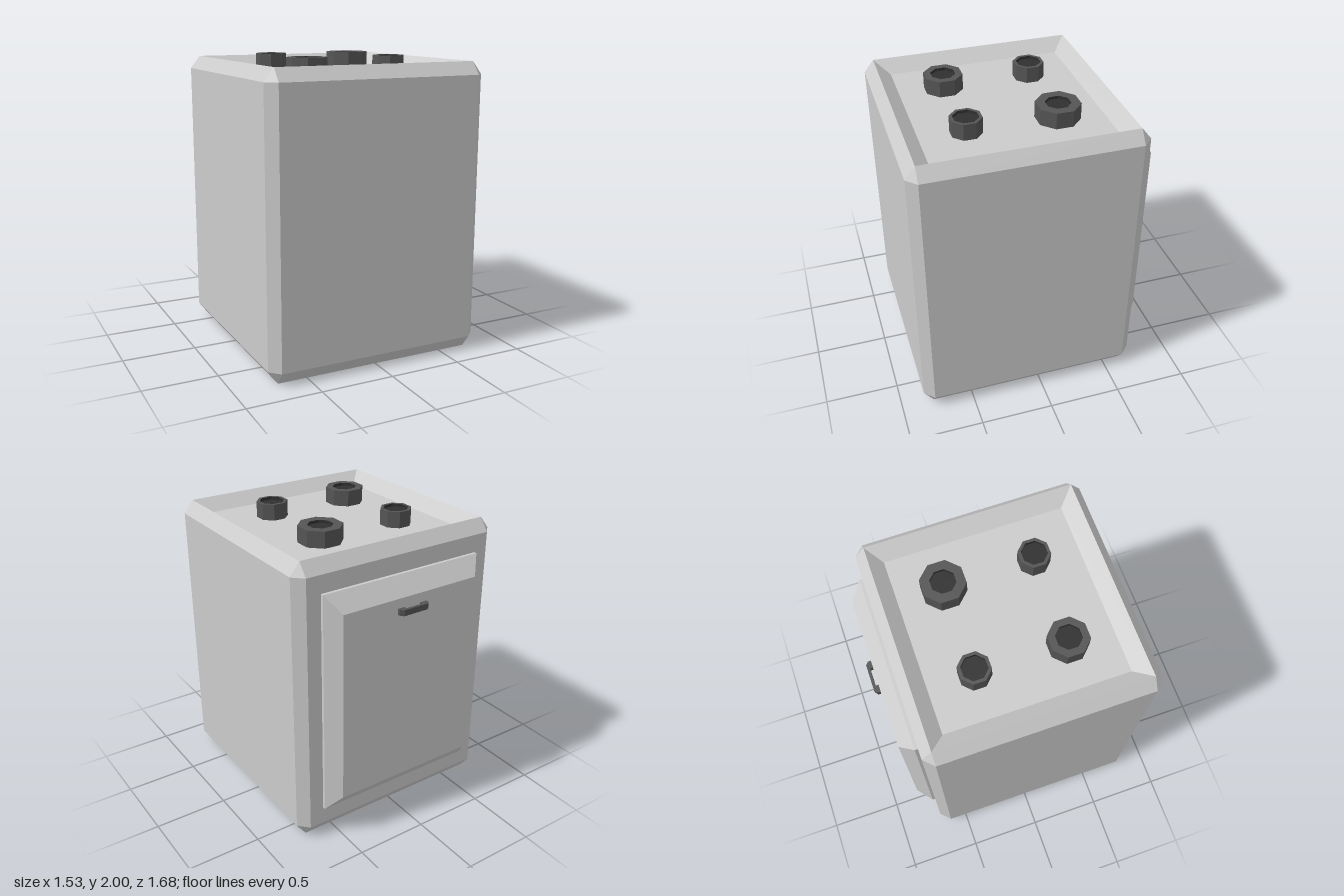
import * as THREE from 'three';

const paint = (color) => new THREE.MeshStandardMaterial({ color, flatShading: true });

// Rectangle with corners cut by c, at height y, counter-clockwise from above
function ring(y, hx, z0, z1, c = 0) {
  return [
    [hx, z1 - c], [hx, z0 + c], [hx - c, z0], [c - hx, z0],
    [-hx, z0 + c], [-hx, z1 - c], [c - hx, z1], [hx - c, z1],
  ].map(([x, z]) => new THREE.Vector3(x, y, z));
}

// Skin a stack of rings and cap both ends
function loft(rings) {
  const pos = [];
  const tri = (a, b, c) => {
    const area = b.clone().sub(a).cross(c.clone().sub(a)).length();
    if (area > 1e-8) for (const p of [a, b, c]) pos.push(p.x, p.y, p.z);
  };
  for (let i = 0; i < rings.length - 1; i++) {
    const lo = rings[i], hi = rings[i + 1];
    for (let j = 0; j < 8; j++) {
      const k = (j + 1) % 8;
      tri(lo[j], lo[k], hi[k]);
      tri(lo[j], hi[k], hi[j]);
    }
  }
  const first = rings[0], last = rings[rings.length - 1];
  for (let j = 1; j < 7; j++) {
    tri(first[0], first[j + 1], first[j]);
    tri(last[0], last[j], last[j + 1]);
  }
  const g = new THREE.BufferGeometry();
  g.setAttribute('position', new THREE.Float32BufferAttribute(pos, 3));
  g.computeVertexNormals();
  return g;
}

// Eight-sided turned shape; radii are measured to the flats
function octagonal(points) {
  const s = 1 / Math.cos(Math.PI / 8);
  return new THREE.LatheGeometry(points.map(([r, y]) => new THREE.Vector2(r * s, y)), 8, Math.PI / 8);
}

export function createModel() {
  const model = new THREE.Group();
  model.name = 'stove';
  const grey = paint(0xcccccc), iron = paint(0x555555), black = paint(0x303030);
  const add = (name, geometry, material, parent = model) => {
    const mesh = new THREE.Mesh(geometry, material);
    mesh.name = name;
    parent.add(mesh);
    return mesh;
  };

  // Chamfered cabinet with a sunken cooktop
  const floorY = 1.89;
  add('cabinet', loft([
    ring(0, 0.7, -0.625, 0.775),
    ring(0.09, 0.767, -0.692, 0.842, 0.067),
    ring(1.885, 0.767, -0.692, 0.842, 0.067),
    ring(1.97, 0.7, -0.625, 0.775),
    ring(floorY, 0.6, -0.53, 0.675),
  ]), grey);

  // Oven door with bevelled edges on the -z side
  add('ovenDoor', loft([
    ring(0.685, 0.6, 0.215, 1.765),
    ring(0.713, 0.6, 0.215, 1.765),
    ring(0.803, 0.515, 0.33, 1.65),
  ]).rotateX(-Math.PI / 2), grey);

  // Door handle: bracket profile in plan, extruded upward
  const profile = [
    [-0.112, 0.8], [-0.112, 0.825], [-0.09, 0.843], [0.09, 0.843], [0.112, 0.825],
    [0.112, 0.8], [0.062, 0.8], [0.062, 0.824], [-0.062, 0.824], [-0.062, 0.8],
  ];
  const handle = new THREE.ExtrudeGeometry(
    new THREE.Shape(profile.map(([x, y]) => new THREE.Vector2(x, y))),
    { depth: 0.04, bevelEnabled: false });
  add('doorHandle', handle.rotateX(-Math.PI / 2).translate(0, 1.545, 0), iron);

  // Burners: iron ring around a dark sunken centre
  const h = 2 - floorY, inner = 0.078;
  for (const [x, z, r] of [
    [-0.303, -0.228, 0.098], [0.297, -0.228, 0.137],
    [-0.303, 0.372, 0.123], [0.297, 0.372, 0.098],
  ]) {
    const burner = new THREE.Group();
    burner.name = 'burner';
    burner.position.set(x, floorY, z);
    add('burnerRing', octagonal([[r, 0], [r, h], [inner, h]]), iron, burner);
    add('burnerCentre', octagonal([[inner, h], [inner, h - 0.02], [0, h - 0.02]]), black, burner);
    model.add(burner);
  }
  return model;
}
